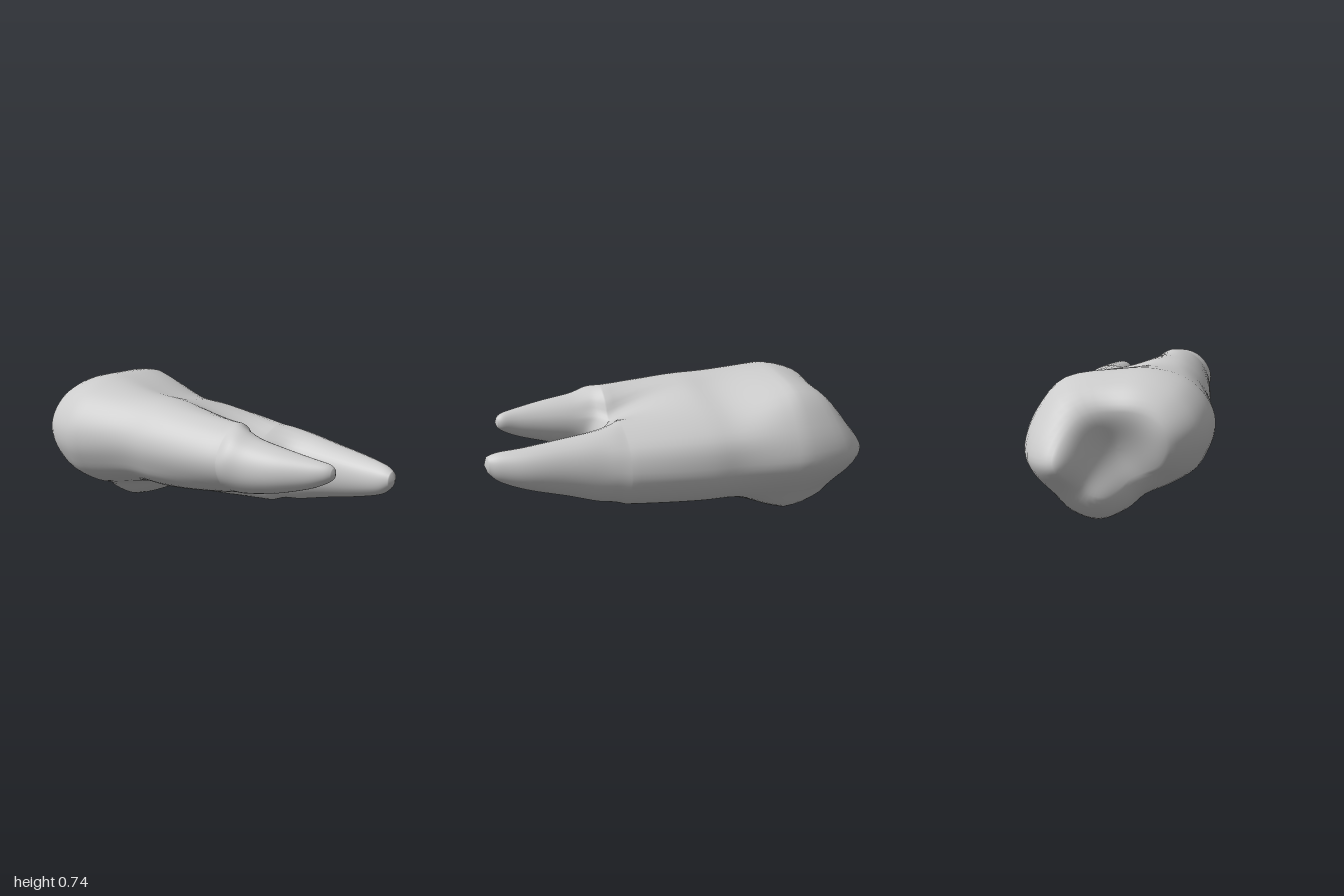
import * as THREE from 'three';

// Outlines run counter-clockwise: [0] top of the waist, [9] bottom of the waist.
const CROWN = [[0, .73], [-.16, .735], [-.3, .7], [-.39, .63], [-.445, .54], [-.455, .45], [-.43, .36], [-.37, .26], [-.25, .18],
  [-.13, .125], [-.04, .05], [.09, 0], [.23, .045], [.32, .14], [.42, .26], [.455, .37], [.4, .53], [.26, .685]];
const NECK = [[-.02, .67], [-.14, .705], [-.25, .7], [-.33, .655], [-.39, .58], [-.41, .5], [-.39, .41], [-.34, .32], [-.22, .25],
  [-.07, .2], [.03, .155], [.12, .135], [.22, .14], [.32, .18], [.39, .27], [.41, .37], [.37, .5], [.22, .6]];
const FORK = [[-.03, .54], [-.1, .63], [-.18, .68], [-.27, .665], [-.34, .61], [-.38, .53], [-.36, .44], [-.29, .36], [-.18, .31],
  [0, .28], [.05, .21], [.11, .175], [.2, .165], [.28, .2], [.34, .28], [.36, .38], [.31, .5], [.15, .585]];

// Root sections: z, x min, x max, y min, y max
const ROOT_RIGHT = [[.36, -.39, -.075, .325, .67], [.45, -.37, -.11, .36, .64], [.6, -.335, -.13, .4, .62],
  [.75, -.275, -.145, .45, .6], [.83, -.235, -.15, .49, .587], [.86, -.21, -.165, .515, .57]];
const ROOT_LEFT = [[.36, .02, .345, .185, .575], [.45, .05, .325, .2, .56], [.6, .068, .3, .245, .54],
  [.8, .09, .27, .3, .515], [.93, .1, .225, .35, .5], [.985, .115, .185, .4, .48]];

// Chewing surface bumps: x, y, spread, height
const CUSPS = [[.27, .33, .13, .29], [-.27, .5, .15, .17], [.06, .14, .1, .15],
  [-.03, .62, .12, .1], [.2, .55, .1, .1], [-.25, .3, .1, .06]];

const SUB = 4, N = 18 * SUB, HALF = N / 2, BRIDGE = 11, FORK_Z = .3;
const CENTRE = [0, .38];
const lerp = THREE.MathUtils.lerp, smooth = THREE.MathUtils.smoothstep;

function catmull(a, b, c, d, t) {
  return b.map((v, i) => .5 * (2 * v + (c[i] - a[i]) * t + (2 * a[i] - 5 * v + 4 * c[i] - d[i]) * t * t
    + (3 * v - a[i] - 3 * c[i] + d[i]) * t * t * t));
}

function closedOutline(p) {
  const n = p.length;
  return Array.from({ length: N }, (_, k) => {
    const i = Math.floor(k / SUB);
    return catmull(p[(i + n - 1) % n], p[i], p[(i + 1) % n], p[(i + 2) % n], (k % SUB) / SUB);
  });
}

const mix = (a, b, t) => a.map((p, i) => p.map((v, k) => lerp(v, b[i][k], t)));

function chewingZ(x, y) {
  return -CUSPS.reduce((h, [cx, cy, s, a]) => h + a * Math.exp(-((x - cx) ** 2 + (y - cy) ** 2) / (2 * s * s)), .7);
}

function buildTooth() {
  const pos = [], index = [];
  const vertex = (x, y, z) => pos.push(x, y, z) / 3 - 1;
  const ring = pts => pts.map(p => vertex(...p));
  const join = (a, b) => a.forEach((v, i) => {
    const j = (i + 1) % a.length;
    index.push(v, a[j], b[i], a[j], b[j], b[i]);
  });
  const crown = closedOutline(CROWN), neck = closedOutline(NECK), fork = closedOutline(FORK);
  const scaled = s => crown.map(([x, y]) => [CENTRE[0] + (x - CENTRE[0]) * s, CENTRE[1] + (y - CENTRE[1]) * s]);
  const rings = [];

  // chewing surface, from the middle out to the crest
  const CREST = .58, STEPS = 14;
  for (let i = 1; i <= STEPS; i++)
    rings.push(ring(scaled(CREST * i / STEPS).map(([x, y]) => [x, y, chewingZ(x, y)])));

  // rounded shoulder of the crown: height share, outline scale
  const crest = scaled(CREST).map(([x, y]) => chewingZ(x, y));
  const shoulder = [[.975, .64], [.92, .71], [.84, .78], [.75, .84], [.65, .885], [.5, .93], [.3, .972], [.13, .993], [0, 1]];
  for (const [k, s] of shoulder)
    rings.push(ring(scaled(s).map(([x, y], i) => [x, y, lerp(-.6, crest[i], k)])));

  // crown narrowing to the neck, then the trunk pinching in to the fork
  const TRUNK = 24;
  for (let i = 1; i <= TRUNK; i++) {
    const z = lerp(-.6, FORK_Z, i / TRUNK);
    const body = mix(crown, neck, smooth(z, -.64, -.22));
    const pinch = Math.max(0, (z + .15) / (FORK_Z + .15)) ** 1.4;
    rings.push(ring(mix(body, fork, pinch).map(([x, y]) => [x, y, z])));
  }
  const middle = vertex(...CENTRE, chewingZ(...CENTRE));
  rings[0].forEach((v, i, r) => index.push(middle, r[(i + 1) % N], v));
  for (let i = 1; i < rings.length; i++) join(rings[i - 1], rings[i]);

  // saddle between the two roots
  const last = rings[rings.length - 1];
  const bridge = Array.from({ length: BRIDGE }, (_, i) => {
    const t = (i + 1) / (BRIDGE + 1), a = fork[HALF], b = fork[0];
    return vertex(lerp(a[0], b[0], t), lerp(a[1], b[1], t), FORK_Z + .05 * Math.sin(Math.PI * t));
  });

  // a root grows from one half of the last ring plus the saddle
  function root(loop, sections, tipZ) {
    const pts = loop.map(v => pos.slice(v * 3, v * 3 + 3));
    const xs = pts.map(p => p[0]), ys = pts.map(p => p[1]);
    const box = [FORK_Z, Math.min(...xs), Math.max(...xs), Math.min(...ys), Math.max(...ys)];
    const unit = pts.map(([x, y]) => [(x - box[1]) / (box[2] - box[1]) * 2 - 1, (y - box[3]) / (box[4] - box[3]) * 2 - 1]);
    const keys = [box, ...sections], end = keys.length - 1;
    let prev = loop, s;
    for (let k = 1; k <= end * 5; k++) {
      const i = Math.min(Math.floor(k / 5), end - 1);
      s = catmull(keys[Math.max(i - 1, 0)], keys[i], keys[i + 1], keys[Math.min(i + 2, end)], k / 5 - i);
      const w = smooth(k / 5, 0, 2.5);
      const next = ring(unit.map(([u, v], j) => {
        const a = Math.atan2(v, u);
        const x = lerp(u, Math.cos(a), w), y = lerp(v, Math.sin(a), w);
        return [lerp(s[1], s[2], (x + 1) / 2), lerp(s[3], s[4], (y + 1) / 2), s[0] + (pts[j][2] - FORK_Z) * (1 - w)];
      }));
      join(prev, next);
      prev = next;
    }
    const tip = vertex((s[1] + s[2]) / 2, (s[3] + s[4]) / 2, tipZ);
    prev.forEach((v, i) => index.push(v, prev[(i + 1) % prev.length], tip));
  }
  root([...last.slice(0, HALF + 1), ...bridge], ROOT_RIGHT, .87);
  root([...last.slice(HALF), last[0], ...bridge.slice().reverse()], ROOT_LEFT, 1);

  const geometry = new THREE.BufferGeometry();
  geometry.setAttribute('position', new THREE.Float32BufferAttribute(pos, 3));
  geometry.setIndex(index);
  geometry.computeVertexNormals();
  return geometry;
}

export function createModel() {
  const group = new THREE.Group();
  group.name = 'molar';
  const tooth = new THREE.Mesh(buildTooth(), new THREE.MeshStandardMaterial({ color: 0xcccccc }));
  tooth.name = 'toothCrownAndRoots';
  group.add(tooth);
  return group;
}
